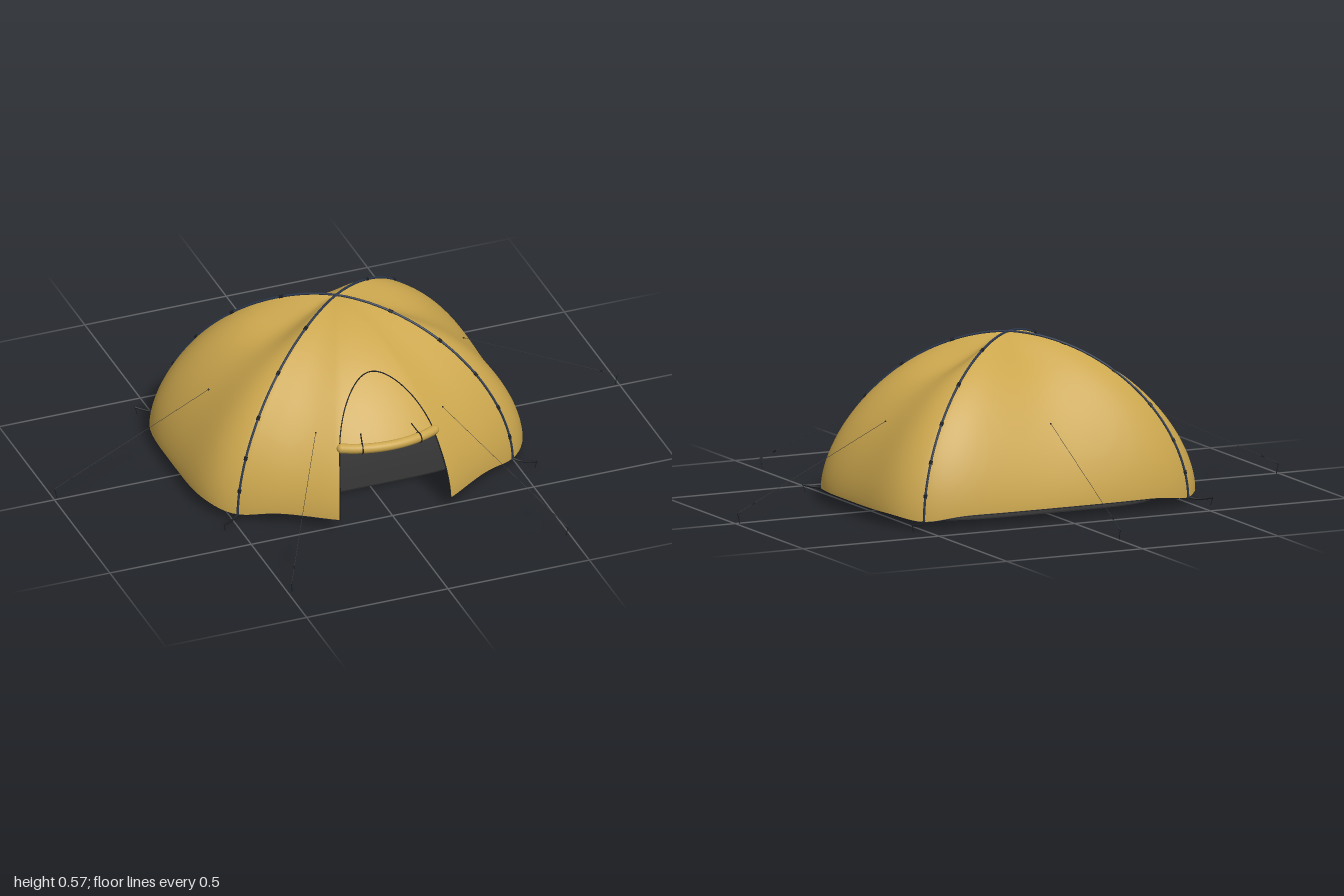
import * as THREE from 'three';

const mat = (name, color, side = THREE.FrontSide) => {
  const m = new THREE.MeshStandardMaterial({ color, side });
  m.name = name;
  return m;
};
const V = (x, y, z) => new THREE.Vector3(x, y, z);
const { clamp, lerp, degToRad } = THREE.MathUtils;

const POLE = 54, DOOR = 20, DOOR_T = 0.861, ZC = -0.01, TOP = 0.561;
const POLES = [POLE, 180 - POLE, 180 + POLE, 360 - POLE];

// rounded-rectangle footprint radius, angle in degrees from +z towards +x
function baseRadius(deg) {
  const a = degToRad(deg), n = 4.2;
  return Math.pow(Math.pow(Math.abs(Math.sin(a)) / 0.58, n) + Math.pow(Math.abs(Math.cos(a)) / 0.41, n), -1 / n);
}

// point on the flysheet: t = 0 at the peak, 1 at the hem; lift pushes outward
function fly(deg, t, lift = 0) {
  const d = Math.abs(((deg + 540) % 360) - 180);
  const rad = degToRad(deg);
  let radius = baseRadius(d), p = 1.85, sag = 0;
  if (d < POLE) {
    // front porch pulled forward, hollow between door and pole
    const k = clamp((d - DOOR) / (POLE - DOOR), 0, 1);
    radius = lerp(0.572, baseRadius(POLE), k) - 0.03 * Math.sin(Math.PI * k);
    p -= 0.17 * (1 - k * k);
  } else {
    // fabric sags between the poles
    const side = d < 180 - POLE;
    const u = side ? (d - POLE) / (180 - 2 * POLE) : (d - 180 + POLE) / (2 * POLE);
    const bow = Math.sin(Math.PI * u);
    p -= 0.28 * bow;
    sag = (side ? 0.03 : 0.012) * bow * Math.exp(-Math.pow((t - 0.3) / 0.22, 2)) * Math.min(1, t / 0.12);
  }
  const corner = Math.exp(-Math.pow((d - (d < 90 ? POLE : 180 - POLE)) / 8, 2));
  const hem = 0.041 - 0.018 * corner;
  const y = hem + (TOP - hem) * Math.pow(Math.max(0, 1 - Math.pow(t, p)), 1 / p) - sag;
  const r = radius * t;
  const v = V(Math.sin(rad) * r, y, Math.cos(rad) * r);
  if (lift) v.addScaledVector(v.clone().normalize(), lift);
  v.z += ZC;
  return v;
}

// inner tent: smaller dome with an upright lower wall
function inner(deg, t) {
  const rad = degToRad(deg), r = baseRadius(deg) * 0.775 * t;
  return V(Math.sin(rad) * r, 0.009 + 0.42 * Math.pow(Math.max(0, 1 - Math.pow(t, 2.4)), 1 / 2.4), Math.cos(rad) * r + ZC);
}

// closed radial shell from a point function, with optional skipped cells
function shell(point, n, rows, skip = () => false, flip = false) {
  const pos = [], idx = [];
  for (let j = 0; j <= rows; j++) {
    const t = Math.sin((j / rows) * Math.PI / 2);
    for (let i = 0; i < n; i++) pos.push(...point((i * 360) / n, t).toArray());
  }
  for (let j = 0; j < rows; j++) for (let i = 0; i < n; i++) {
    if (skip(i, j)) continue;
    const i2 = (i + 1) % n;
    const a = j * n + i, b = a + n, c = (j + 1) * n + i2, d = j * n + i2;
    const tris = j ? [[a, b, c], [a, c, d]] : [[a, b, c]];
    for (const [x, y, z] of tris) idx.push(...(flip ? [x, z, y] : [x, y, z]));
  }
  const g = new THREE.BufferGeometry();
  g.setAttribute('position', new THREE.Float32BufferAttribute(pos, 3));
  g.setIndex(idx);
  g.computeVertexNormals();
  return g;
}

export function createModel() {
  const model = new THREE.Group();
  model.name = 'domeTent';
  const gold = mat('gold fabric', 0xcba64d, THREE.DoubleSide);
  const lining = mat('tan lining', 0xb09a78, THREE.DoubleSide);
  const wall = mat('dark inner fabric', 0x383839, THREE.DoubleSide);
  const floorMat = mat('floor', 0x2c2c2d);
  const navy = mat('navy pole', 0x2a364b, THREE.DoubleSide);
  const trim = mat('black trim', 0x1b1d21, THREE.DoubleSide);
  const cord = mat('cord grey', 0x3a3a3c, THREE.DoubleSide);

  const add = (name, geo, material, parent = model) => {
    const m = new THREE.Mesh(geo, material);
    m.name = name;
    parent.add(m);
    return m;
  };
  const tube = (name, pts, r, material, parent = model, seg = 40, sides = 8) =>
    add(name, new THREE.TubeGeometry(new THREE.CatmullRomCurve3(pts), seg, r, sides), material, parent);
  const path = (n, f) => Array.from({ length: n + 1 }, (_, i) => f(i / n));
  const rod = (name, a, b, r, material, parent = model) =>
    add(name, new THREE.TubeGeometry(new THREE.LineCurve3(a, b), 1, r, 6), material, parent);

  // flysheet with the doorway left open, and its lining just inside
  const doorway = (i, j) => j >= 33 && (i < DOOR / 2 || i >= 180 - DOOR / 2);
  add('flysheet', shell(fly, 180, 50, doorway), gold);
  add('flysheetLining', shell((deg, t) => fly(deg, t, -0.003), 180, 50, doorway, true), lining);
  tube('hemTape', path(160, (s) => fly(lerp(DOOR, 360 - DOOR, s), 1, -0.0015)), 0.0018, trim, model, 240, 6);

  // inner tent and groundsheet
  add('innerTent', shell(inner, 90, 24), wall);
  const outline = path(89, (s) => {
    const p = inner(s * 356, 1);
    return new THREE.Vector2(p.x, p.z);
  });
  const floor = add('groundsheet', new THREE.ExtrudeGeometry(new THREE.Shape(outline), { depth: 0.004, bevelEnabled: false }), floorMat);
  floor.rotation.x = Math.PI / 2;
  floor.position.y = 0.0105;

  // hooked ground peg leaning away from the tent
  const peg = (top, dir, parent) => {
    const at = (o, y) => top.clone().addScaledVector(dir, o).setY(y);
    tube('peg', [at(-0.01, 0.001), at(-0.004, top.y - 0.006), at(0, top.y), at(-0.012, top.y + 0.002)], 0.0014, trim, parent, 10, 6);
  };

  // crossing poles with clips, foot straps and pegs
  for (const deg of POLES) {
    const g = new THREE.Group();
    g.name = 'poleLeg';
    model.add(g);
    tube('pole', path(30, (s) => fly(deg, Math.sin(s * Math.PI / 2), 0.002)), 0.004, navy, g, 60);
    for (const s of [0.2, 0.4, 0.58, 0.74, 0.88]) {
      const a = fly(deg, Math.sin((s - 0.008) * Math.PI / 2), 0.002);
      const b = fly(deg, Math.sin((s + 0.008) * Math.PI / 2), 0.002);
      rod('poleClip', a, b, 0.006, trim, g);
    }
    const foot = fly(deg, 1);
    const dir = V(foot.x, 0, foot.z - ZC).normalize();
    const out = (o, y) => foot.clone().addScaledVector(dir, o).setY(y);
    tube('footStrap', [out(-0.01, 0.03), out(0.025, 0.02), out(0.06, 0.022), out(0.085, 0.027)], 0.0035, trim, g, 12);
    peg(out(0.087, 0.027), dir, g);
  }
  const hub = add('peakHub', new THREE.SphereGeometry(0.007, 12, 8), trim);
  hub.position.set(0, TOP, ZC);
  hub.scale.y = 0.5;

  // zips: upright door edges and the arch above
  for (const s of [-1, 1])
    tube('doorEdgeZip', path(10, (u) => fly(s * DOOR, lerp(DOOR_T, 1, Math.sin(u * Math.PI / 2)), -0.001)), 0.0022, trim, model, 20, 6);
  tube('doorArchZip', path(30, (u) => {
    const a = (u - 0.5) * Math.PI;
    return fly(DOOR * Math.sin(a), lerp(DOOR_T, 0.54, Math.cos(a)), 0.001);
  }), 0.002, trim, model, 60, 6);

  // rolled-up door, standing proud at the middle, and its ties
  const rollAt = (deg) => fly(deg, DOOR_T, 0.002 + 0.015 * (1 - Math.pow(deg / DOOR, 2))).setY(0.271);
  const ends = [-19.3, 19.3];
  tube('rolledDoor', path(12, (u) => rollAt(lerp(ends[0], ends[1], u))), 0.0165, gold, model, 30, 14);
  for (const e of ends) {
    const cap = add('rolledDoorEnd', new THREE.SphereGeometry(0.0165, 14, 10), gold);
    cap.position.copy(rollAt(e));
  }
  for (const e of [-11.5, 11.5]) {
    const tie = add('doorTie', new THREE.TorusGeometry(0.017, 0.0022, 6, 20), trim);
    tie.position.copy(rollAt(e));
    tie.rotation.y = Math.PI / 2 + degToRad(e);
    rod('doorTieTail', rollAt(e).add(V(0, 0.015, 0)), fly(e * 0.98, 0.8, 0.002), 0.0022, trim);
  }

  // guy lines: angle, height on the fabric, ground end
  const guys = [
    [90, 0.775, V(0.998, 0.035, ZC)], [270, 0.775, V(-0.998, 0.035, ZC)],
    [30, 0.805, V(0.49, 0.035, 0.838)], [-30, 0.805, V(-0.49, 0.035, 0.838)],
    [180, 0.765, V(0, 0.035, -0.838)],
  ];
  for (const [deg, t, end] of guys) {
    const g = new THREE.Group();
    g.name = 'guyLine';
    model.add(g);
    const start = fly(deg, t, 0.002);
    rod('cord', start, end, 0.0007, cord, g);
    rod('tensioner', start.clone().lerp(end, 0.88), start.clone().lerp(end, 0.9), 0.0022, trim, g);
    const loop = add('anchorLoop', new THREE.SphereGeometry(0.003, 8, 6), trim, g);
    loop.position.copy(start);
    peg(end, end.clone().sub(start).setY(0).normalize(), g);
  }
  return model;
}
